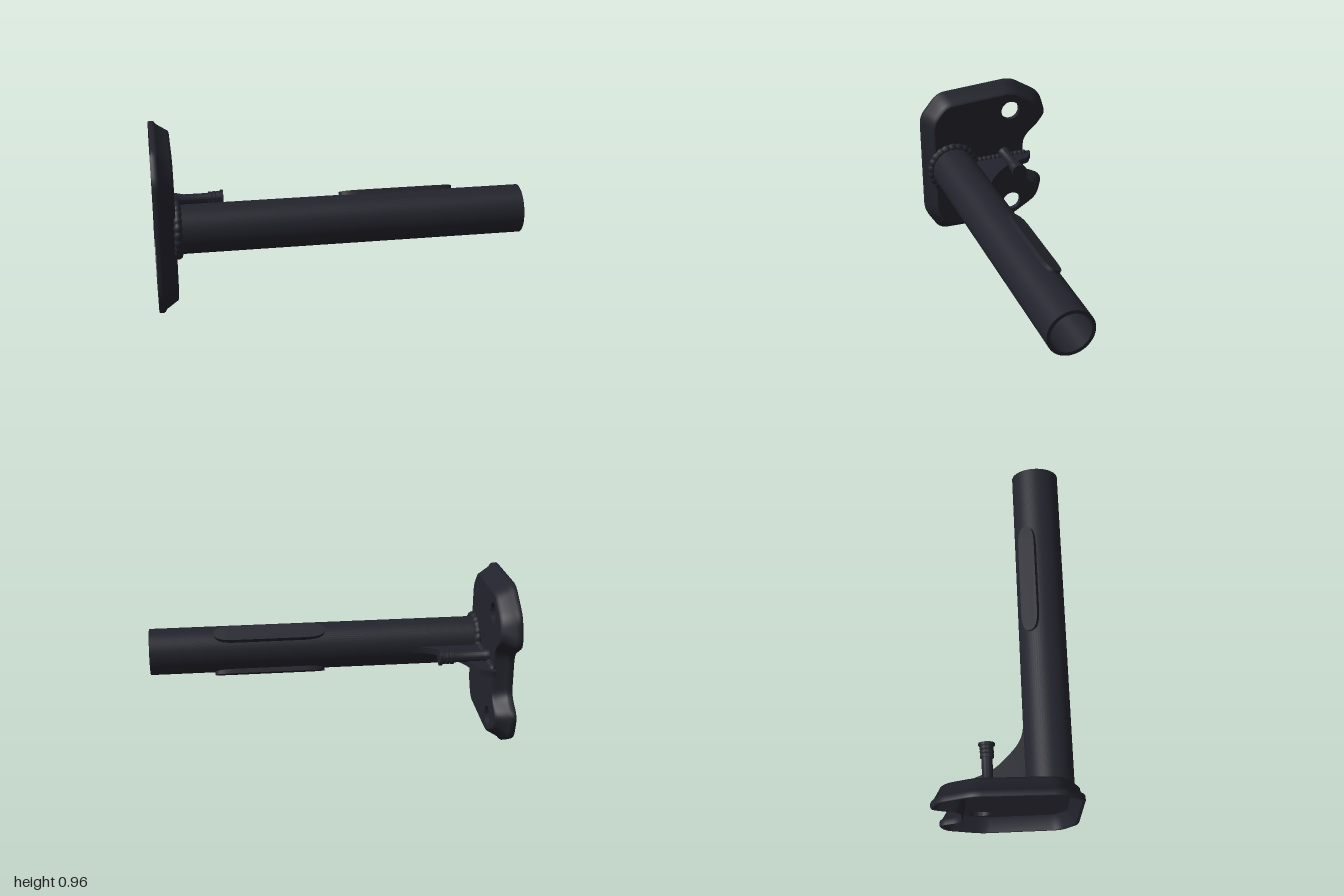
import * as THREE from 'three';
import { toCreasedNormals } from 'three/addons/utils/BufferGeometryUtils.js';

const darkSteel = new THREE.MeshStandardMaterial({ color: 0x23232d });
darkSteel.name = 'dark steel';

const TUBE_Z = 0.235, MID_Y = 0.477;

function add(parent, name, geometry) {
  const m = new THREE.Mesh(geometry, darkSteel);
  m.name = name;
  parent.add(m);
  return m;
}

// Plate corners, clockwise: across, up, width of the sloped border
const CORNERS = [
  [-0.285, 0.937, 0.06], [0.18, 0.966, 0.06], [0.365, 0.85, 0.06], [0.41, 0.69, 0.05],
  [0.25, 0.58, 0.025], [0.25, 0.335, 0.025], [0.385, 0.265, 0.05], [0.35, 0.12, 0.06],
  [0.15, 0.0, 0.06], [-0.31, 0.014, 0.06], [-0.4, 0.16, 0.06], [-0.4, 0.8, 0.06],
].reverse();

// Plate outline moved inwards by t border widths, with rounded corners
function outline(t) {
  const n = CORNERS.length;
  const P = CORNERS.map(c => new THREE.Vector2(c[0], c[1]));
  const normal = (a, b) => new THREE.Vector2(a.y - b.y, b.x - a.x).normalize();
  const Q = P.map((p, i) => {
    const n1 = normal(P[(i + n - 1) % n], p), n2 = normal(p, P[(i + 1) % n]);
    const k = t * CORNERS[i][2] / (1 + n1.dot(n2));
    return p.clone().add(n1.add(n2).multiplyScalar(k));
  });
  const out = [];
  Q.forEach((q, i) => {
    const toward = o => q.clone().lerp(o, Math.min(0.4, 0.05 / q.distanceTo(o)));
    const curve = new THREE.QuadraticBezierCurve(toward(Q[(i + n - 1) % n]), q, toward(Q[(i + 1) % n]));
    out.push(...curve.getPoints(6));
  });
  return out;
}

// Skin through a row of [inset, depth] outlines
function skin(profile) {
  const pos = [], index = [];
  let n = 0;
  profile.forEach(([t, d]) => {
    const ring = outline(t);
    n = ring.length;
    ring.forEach(p => pos.push(p.x, p.y, d));
  });
  for (let k = 0; k < profile.length - 1; k++) {
    for (let i = 0; i < n; i++) {
      const a = k * n + i, b = k * n + (i + 1) % n;
      index.push(a, b, b + n, a, b + n, a + n);
    }
  }
  const g = new THREE.BufferGeometry();
  g.setAttribute('position', new THREE.Float32BufferAttribute(pos, 3));
  g.setIndex(index);
  return toCreasedNormals(g, 0.7);
}

// Turned part along the depth axis from [radius, depth] points
function turned(points, sides = 48) {
  const g = new THREE.LatheGeometry(points.map(p => new THREE.Vector2(p[0], p[1])), sides);
  return toCreasedNormals(g.rotateX(Math.PI / 2), 0.6);
}

// Rippled weld bead along a path
function bead(path, radius, bumps, closed) {
  const seg = bumps * 8;
  const g = new THREE.TubeGeometry(path, seg, radius, 10, closed);
  const pos = g.attributes.position, v = new THREE.Vector3();
  for (let i = 0; i <= seg; i++) {
    const c = path.getPointAt(i / seg);
    let s = 0.88 + 0.24 * Math.abs(Math.sin(Math.PI * bumps * i / seg));
    if (!closed) s *= Math.sqrt(Math.min(1, Math.min(i, seg - i) / 6));
    for (let j = 0; j <= 10; j++) {
      const k = i * 11 + j;
      v.fromBufferAttribute(pos, k).sub(c).multiplyScalar(s).add(c);
      pos.setXYZ(k, v.x, v.y, v.z);
    }
  }
  g.computeVertexNormals();
  return g;
}

export function createModel() {
  const model = new THREE.Group();
  model.name = 'tubeBracket';

  // Parts below are drawn facing the plate, then turned so depth runs along x
  const facing = new THREE.Group();
  facing.name = 'plateAndTube';
  facing.rotation.y = Math.PI / 2;
  model.add(facing);

  // Pressed mounting plate, hollow at the back
  const plate = new THREE.Group();
  plate.name = 'mountingPlate';
  facing.add(plate);
  add(plate, 'plateBorder', skin([
    [1.05, -0.92], [0.8, -0.932], [0.4, -0.985], [0.3, -1], [0.06, -1], [0, -0.994], [0, -0.974],
    [0.08, -0.966], [0.28, -0.958], [0.8, -0.906], [0.9, -0.895], [1.05, -0.89],
  ]));
  const face = new THREE.Shape(outline(1.05));
  const holes = [0.792, 0.162];
  holes.forEach(y => face.holes.push(new THREE.Path().absarc(0.148, y, 0.058, 0, Math.PI * 2, true)));
  add(plate, 'plateFront', new THREE.ShapeGeometry(face, 24)).position.z = -0.89;
  const back = add(plate, 'plateBack', new THREE.ShapeGeometry(face, 24).scale(-1, 1, 1).rotateY(Math.PI));
  back.geometry.dispose();
  back.geometry = new THREE.ShapeGeometry(face, 24);
  const idx = back.geometry.index.array;
  for (let i = 0; i < idx.length; i += 3) [idx[i], idx[i + 1]] = [idx[i + 1], idx[i]];
  back.geometry.computeVertexNormals();
  back.position.z = -0.92;
  holes.forEach(y => {
    const wall = add(plate, 'boltHoleWall', turned([[0.058, -0.89], [0.058, -0.92]], 48));
    wall.position.set(0.148, y, 0);
  });

  // Hollow tube
  const tube = add(facing, 'tube', turned([[0.132, -0.9], [0.132, 1], [0.112, 1], [0.112, -0.9]], 64));
  tube.position.set(-TUBE_Z, MID_Y, 0);

  // Weld around the tube foot
  const circle = [];
  for (let i = 0; i < 24; i++) {
    const a = i / 24 * Math.PI * 2;
    circle.push(new THREE.Vector3(Math.cos(a) * 0.138 - TUBE_Z, Math.sin(a) * 0.138 + MID_Y, -0.88));
  }
  add(facing, 'tubeWeld', bead(new THREE.CatmullRomCurve3(circle, true), 0.021, 22, true));

  // Welds on both sides of the gusset
  for (const side of [1, -1]) {
    const y = MID_Y + side * 0.018;
    const line = new THREE.LineCurve3(new THREE.Vector3(-0.1, y, -0.886), new THREE.Vector3(0.248, y, -0.886));
    add(facing, 'gussetWeld', bead(line, 0.017, 12, false));
  }

  // Locking pin with ribbed head
  const pin = add(facing, 'pin', turned([
    [0, -0.9], [0.036, -0.9], [0.036, -0.87], [0.03, -0.86], [0.03, -0.69], [0.038, -0.69],
    [0.038, -0.672], [0.034, -0.668], [0.038, -0.664], [0.038, -0.65], [0.034, -0.646],
    [0.038, -0.642], [0.038, -0.624], [0.045, -0.622], [0.045, -0.608], [0, -0.608],
  ], 32));
  pin.position.set(0.1, 0.515, 0);

  // Curved gusset between plate and tube
  const web = new THREE.Shape();
  web.moveTo(-0.9, -0.12);
  web.lineTo(-0.5, -0.12);
  web.lineTo(-0.5, -0.103);
  web.bezierCurveTo(-0.6, -0.1, -0.64, -0.05, -0.7, 0.01);
  web.bezierCurveTo(-0.77, 0.08, -0.775, 0.13, -0.8, 0.19);
  web.quadraticCurveTo(-0.805, 0.23, -0.83, 0.242);
  web.lineTo(-0.875, 0.27);
  web.lineTo(-0.9, 0.27);
  const gusset = new THREE.ExtrudeGeometry(web, { depth: 0.036, bevelEnabled: false, curveSegments: 12 });
  gusset.rotateX(-Math.PI / 2).translate(0, MID_Y - 0.018, 0);
  add(model, 'gusset', toCreasedNormals(gusset, 0.6));

  // Flat raised pads on the upper and lower back of the tube
  const pad = new THREE.Shape();
  pad.moveTo(0.12, -0.05);
  pad.lineTo(0.52, -0.05);
  pad.bezierCurveTo(0.6, -0.05, 0.635, -0.035, 0.635, 0);
  pad.bezierCurveTo(0.635, 0.035, 0.6, 0.05, 0.52, 0.05);
  pad.lineTo(0.12, 0.05);
  pad.bezierCurveTo(0.04, 0.05, 0.005, 0.035, 0.005, 0);
  pad.bezierCurveTo(0.005, -0.035, 0.04, -0.05, 0.12, -0.05);
  for (const tilt of [-Math.PI / 6, -Math.PI * 5 / 6]) {
    const g = new THREE.ExtrudeGeometry(pad, { depth: 0.03, bevelEnabled: false, curveSegments: 10 });
    g.rotateX(-Math.PI / 2).translate(0, 0.118, 0).rotateX(tilt);
    add(model, 'tubePad', toCreasedNormals(g, 0.6)).position.set(0, MID_Y, TUBE_Z);
  }
  return model;
}
